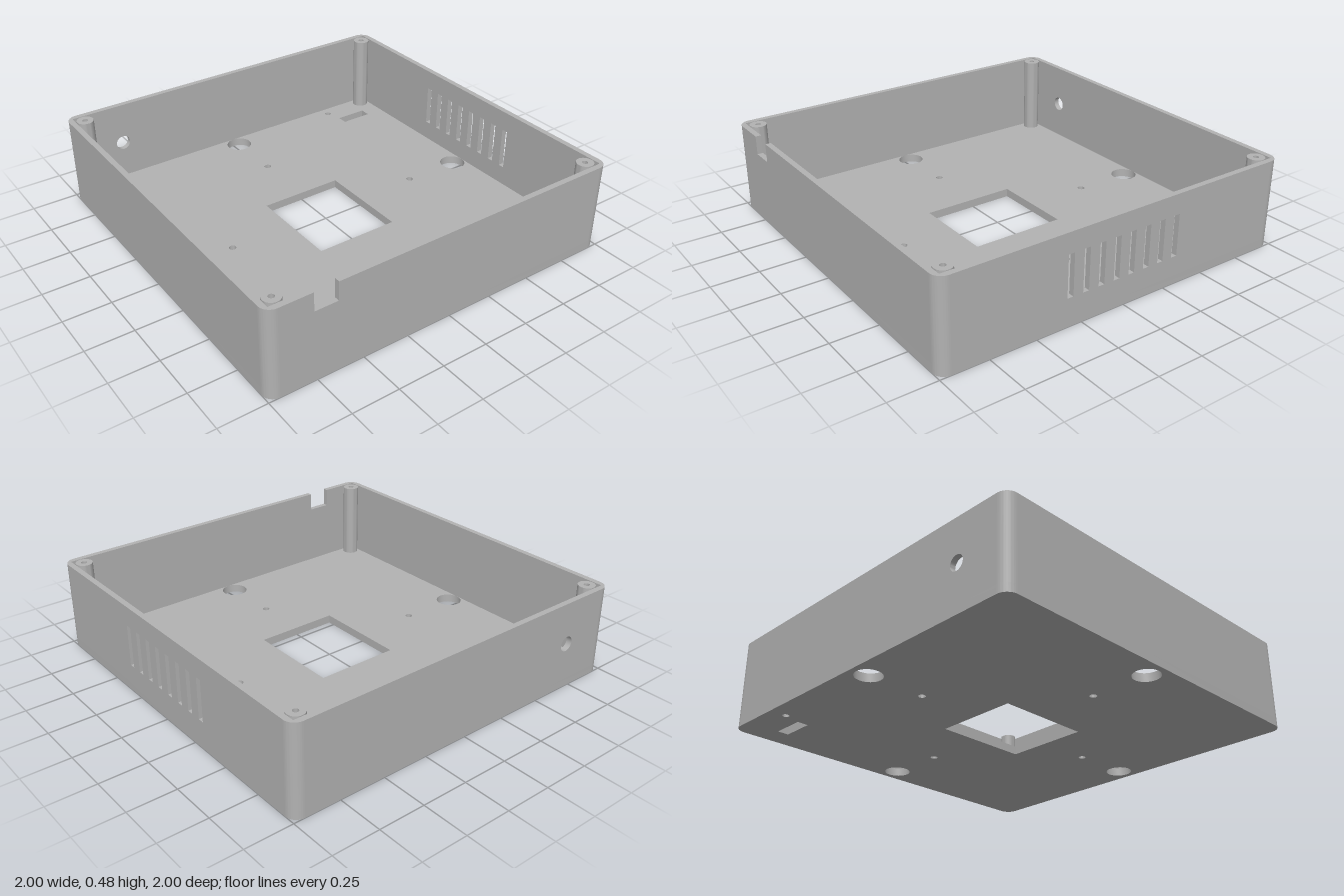
import * as THREE from 'three';
import { toCreasedNormals } from 'three/addons/utils/BufferGeometryUtils.js';

const HEIGHT = 0.48, FLOOR = 0.045, WALL = 0.03, RADIUS = 0.06;
const INNER = 1 - WALL, STRAIGHT = 1 - RADIUS;

function rectPath(x0, y0, x1, y1) {
  return new THREE.Path([[x0, y0], [x1, y0], [x1, y1], [x0, y1]].map(p => new THREE.Vector2(...p)));
}

function circlePath(x, y, r) {
  return new THREE.Path().absarc(x, y, r, 0, Math.PI * 2, true);
}

function extrude(shape, depth) {
  return new THREE.ExtrudeGeometry(shape, { depth, bevelEnabled: false, curveSegments: 16 });
}

export function createModel() {
  const group = new THREE.Group();
  const grey = new THREE.MeshStandardMaterial({ color: 0xb2b2b2 });
  grey.name = 'grey plastic';

  function add(name, geometry) {
    const mesh = new THREE.Mesh(toCreasedNormals(geometry, 0.6), grey);
    mesh.name = name;
    group.add(mesh);
    return mesh;
  }

  // Floor plate with rounded corners; shape y is -z
  const plate = new THREE.Shape();
  for (let i = 0; i < 4; i++) {
    const a = i * Math.PI / 2;
    const cx = STRAIGHT * (i === 0 || i === 3 ? 1 : -1);
    const cy = STRAIGHT * (i < 2 ? 1 : -1);
    plate.absarc(cx, cy, RADIUS, a, a + Math.PI / 2, false);
  }
  plate.closePath();
  plate.holes.push(
    rectPath(-0.23, -0.285, 0.227, 0.23),
    rectPath(0.685, 0.762, 0.865, 0.822),
    circlePath(0.66, 0.91, 0.018),
  );
  for (const [x, y] of [[1, 0], [0, 1], [-1, 0], [0, -1]]) {
    plate.holes.push(circlePath(x * 0.9, y * 0.9, 0.07), circlePath(x * 0.58, y * 0.58, 0.019));
  }
  add('floor', extrude(plate, FLOOR).rotateX(-Math.PI / 2));

  // Flat wall panels, each turned to its side
  function addWall(name, angle, holes = [], notch = null) {
    const s = new THREE.Shape();
    s.moveTo(-STRAIGHT, FLOOR).lineTo(STRAIGHT, FLOOR).lineTo(STRAIGHT, HEIGHT);
    if (notch) {
      const [x0, x1, y] = notch;
      s.lineTo(x1, HEIGHT).lineTo(x1, y).lineTo(x0, y).lineTo(x0, HEIGHT);
    }
    s.lineTo(-STRAIGHT, HEIGHT).closePath();
    s.holes.push(...holes);
    add(name, extrude(s, WALL).translate(0, 0, INNER)).rotation.y = angle;
  }
  const slots = [];
  for (let i = 0; i < 8; i++) {
    const u = (i - 3.5) * 0.0895 - 0.004;
    slots.push(rectPath(u - 0.017, 0.15, u + 0.017, 0.372));
  }
  addWall('frontWall', 0, [], [-0.765, -0.64, 0.38]);
  addWall('ventWall', Math.PI / 2, slots);
  addWall('backWall', Math.PI, [circlePath(0.7, 0.25, 0.04)]);
  addWall('plainWall', -Math.PI / 2);

  // Wall corners: rounded outside, square inside
  const corner = new THREE.Shape();
  corner.moveTo(INNER, STRAIGHT).lineTo(1, STRAIGHT);
  corner.absarc(STRAIGHT, STRAIGHT, RADIUS, 0, Math.PI / 2, false);
  corner.lineTo(STRAIGHT, INNER).lineTo(INNER, INNER).closePath();

  // Screw post with a blind bore
  const profile = [[0.045, FLOOR], [0.045, HEIGHT], [0.015, HEIGHT], [0.015, 0.2], [0, 0.2]]
    .map(p => new THREE.Vector2(...p));

  for (let i = 0; i < 4; i++) {
    const wallCorner = extrude(corner, HEIGHT - FLOOR).rotateX(-Math.PI / 2).translate(0, FLOOR, 0);
    add('wallCorner', wallCorner).rotation.y = i * Math.PI / 2;
    const post = add('screwPost', new THREE.LatheGeometry(profile, 32));
    post.position.set(i % 2 ? 0.92 : -0.92, 0, i < 2 ? 0.92 : -0.92);
  }
  return group;
}
